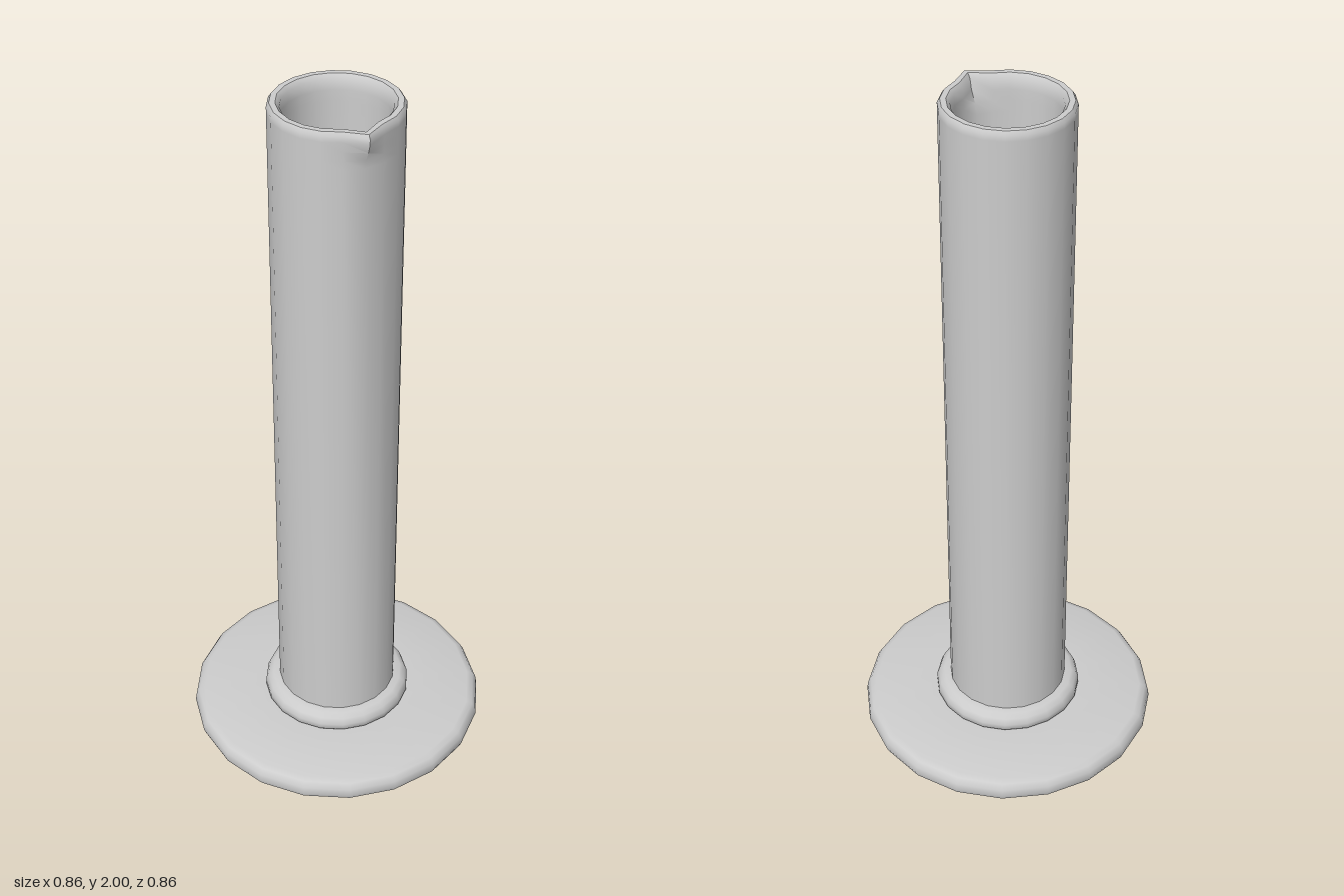
import * as THREE from 'three';
import { toCreasedNormals } from 'three/addons/utils/BufferGeometryUtils.js';

const SIDES = 20;

// Turned solid from [radius, height] pairs; optional rule reshapes the vertices
function turned(name, profile, material, reshape) {
  const points = profile.map(([r, y]) => new THREE.Vector2(r, y));
  let geometry = new THREE.LatheGeometry(points, SIDES);
  if (reshape) {
    const pos = geometry.attributes.position;
    const v = new THREE.Vector3();
    for (let i = 0; i < pos.count; i++) {
      reshape(v.fromBufferAttribute(pos, i));
      pos.setXYZ(i, v.x, v.y, v.z);
    }
  }
  // Crease at a larger scale so that small bevels stay distinct
  geometry.scale(100, 100, 100);
  geometry = toCreasedNormals(geometry, 0.85);
  geometry.scale(0.01, 0.01, 0.01);
  const mesh = new THREE.Mesh(geometry, material);
  mesh.name = name;
  return mesh;
}

// Pull the front of the rim forward into a pouring lip
function pullSpout(v) {
  if (Math.abs(v.x) > 0.001 || v.z < 0.05 || v.y < 1.9) return;
  const t = Math.min((v.y - 1.9) / 0.08, 1);
  v.z += 0.028 * t * t * (3 - 2 * t);
}

export function createModel() {
  const group = new THREE.Group();
  group.name = 'measuringCylinder';
  const grey = new THREE.MeshStandardMaterial({ color: 0xcccccc });
  grey.name = 'pale grey';

  // Wide round foot with a softened rim
  group.add(turned('foot', [
    [0, 0], [0.424, 0], [0.43, 0.015], [0.427, 0.035], [0.417, 0.052], [0.4, 0.058], [0.2, 0.058], [0, 0.058],
  ], grey));

  // Raised collar around the bottom of the tube
  group.add(turned('collar', [
    [0.205, 0.055], [0.214, 0.065], [0.214, 0.082], [0.207, 0.1], [0.192, 0.11], [0.165, 0.112],
  ], grey));

  // Hollow tube: outer wall, rounded rim, inner wall and floor
  group.add(turned('tube', [
    [0.172, 0.1], [0.172, 1.9], [0.172, 1.925], [0.172, 1.95], [0.172, 1.975], [0.172, 1.99], [0.165, 2],
    [0.15, 2], [0.14, 1.988], [0.138, 1.96], [0.138, 1.93], [0.138, 1.9], [0.138, 0.15],
    [0.128, 0.122], [0.1, 0.112], [0, 0.11],
  ], grey, pullSpout));

  return group;
}
